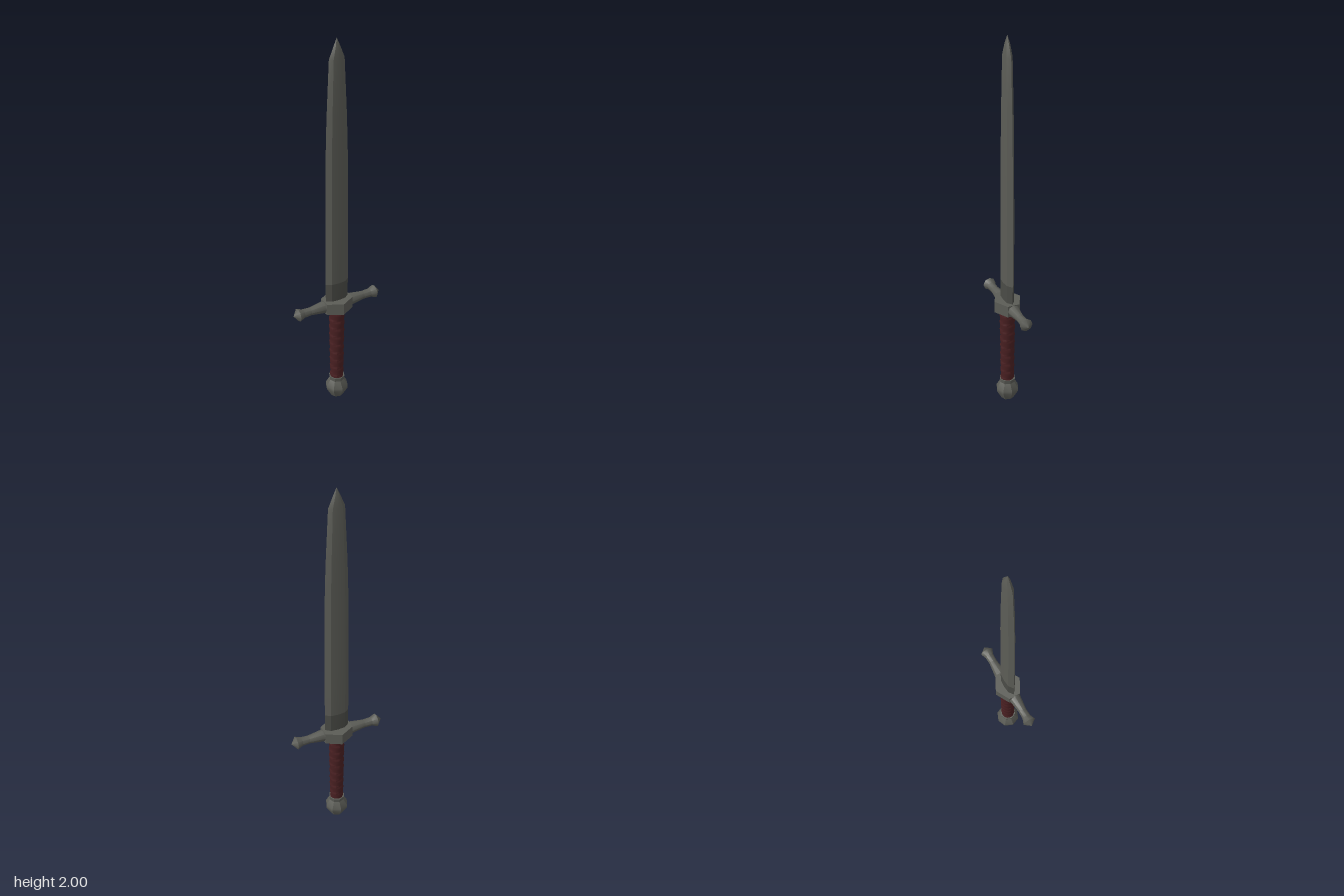
import * as THREE from 'three';
import { toCreasedNormals } from 'three/addons/utils/BufferGeometryUtils.js';

const material = (name, color) => {
  const m = new THREE.MeshStandardMaterial({ color });
  m.name = name;
  return m;
};

// Loft of flattened eight-point cross-sections: [y, halfWidth, halfThickness]
function bladeGeometry(sections) {
  const pos = [], index = [], n = 8;
  for (const [y, w, t] of sections) {
    const ring = [[w, 0], [0.6 * w, 0.85 * t], [0, t], [-0.6 * w, 0.85 * t],
      [-w, 0], [-0.6 * w, -0.85 * t], [0, -t], [0.6 * w, -0.85 * t]];
    for (const [x, z] of ring) pos.push(x, y, z);
  }
  for (let s = 0; s < sections.length - 1; s++) {
    for (let i = 0; i < n; i++) {
      const a = s * n + i, b = s * n + (i + 1) % n;
      index.push(a, a + n, b, b, a + n, b + n);
    }
  }
  const g = new THREE.BufferGeometry();
  g.setAttribute('position', new THREE.Float32BufferAttribute(pos, 3));
  g.setIndex(index);
  return toCreasedNormals(g, 0.42);
}

const lathe = (points, sides, crease) => toCreasedNormals(
  new THREE.LatheGeometry(points.map(([r, y]) => new THREE.Vector2(r, y)), sides), crease);

export function createModel() {
  const group = new THREE.Group();
  const steel = material('steel', 0x5b5c56);
  const darkSteel = material('dark steel', 0x4a4b46);
  const leather = material('red leather', 0x4a2022);

  const add = (name, geometry, mat) => {
    const mesh = new THREE.Mesh(geometry, mat);
    mesh.name = name;
    group.add(mesh);
    return mesh;
  };

  // Blade, with a darker base near the guard
  add('bladeBase', bladeGeometry([[0.58, 0.064, 0.023], [0.7, 0.065, 0.023]]), darkSteel);
  add('blade', bladeGeometry([
    [0.7, 0.065, 0.023], [1.0, 0.065, 0.023], [1.35, 0.063, 0.022], [1.6, 0.056, 0.021],
    [1.9, 0.042, 0.018], [1.96, 0.018, 0.011], [2.0, 0.0005, 0.0005],
  ]), steel);

  // Guard: six-sided block with two flared arms
  const hex = new THREE.Shape([[0, -0.072], [0.075, -0.032], [0.075, 0.032],
    [0, 0.072], [-0.075, 0.032], [-0.075, -0.032]].map(([x, y]) => new THREE.Vector2(x, y)));
  const block = new THREE.ExtrudeGeometry(hex, { depth: 0.062, bevelEnabled: false });
  block.rotateX(-Math.PI / 2).translate(0, 0.539, 0);
  add('guardBlock', block, steel);

  const armGeometry = lathe([[0.03, 0.06], [0.031, 0.08], [0.021, 0.155],
    [0.023, 0.195], [0.034, 0.224], [0, 0.251]], 8, 0.8);
  armGeometry.rotateZ(-Math.PI / 2);
  for (const [name, turn] of [['leftGuardArm', 0], ['rightGuardArm', Math.PI]]) {
    const arm = add(name, armGeometry, steel);
    arm.position.y = 0.57;
    arm.rotation.y = turn;
  }

  // Grip with a spiral leather wrap
  const grip = new THREE.CylinderGeometry(0.04, 0.035, 0.43, 12, 54, true);
  const p = grip.attributes.position;
  for (let i = 0; i < p.count; i++) {
    const x = p.getX(i), y = p.getY(i), z = p.getZ(i);
    const turns = y / 0.048 + Math.atan2(x, z) / (2 * Math.PI);
    const k = 0.94 + 0.1 * (turns - Math.floor(turns));
    p.setXYZ(i, x * k, y, z * k);
  }
  grip.translate(0, 0.325, 0);
  add('grip', toCreasedNormals(grip, 0.6), leather);

  // Faceted pommel
  add('pommel', lathe([[0, 0], [0.033, 0], [0.06, 0.048], [0.06, 0.064],
    [0.039, 0.1], [0.042, 0.122], [0, 0.122]], 8, 0.5), steel);

  group.rotation.y = -0.25;
  const root = new THREE.Group();
  root.name = 'sword';
  root.add(group);
  return root;
}
